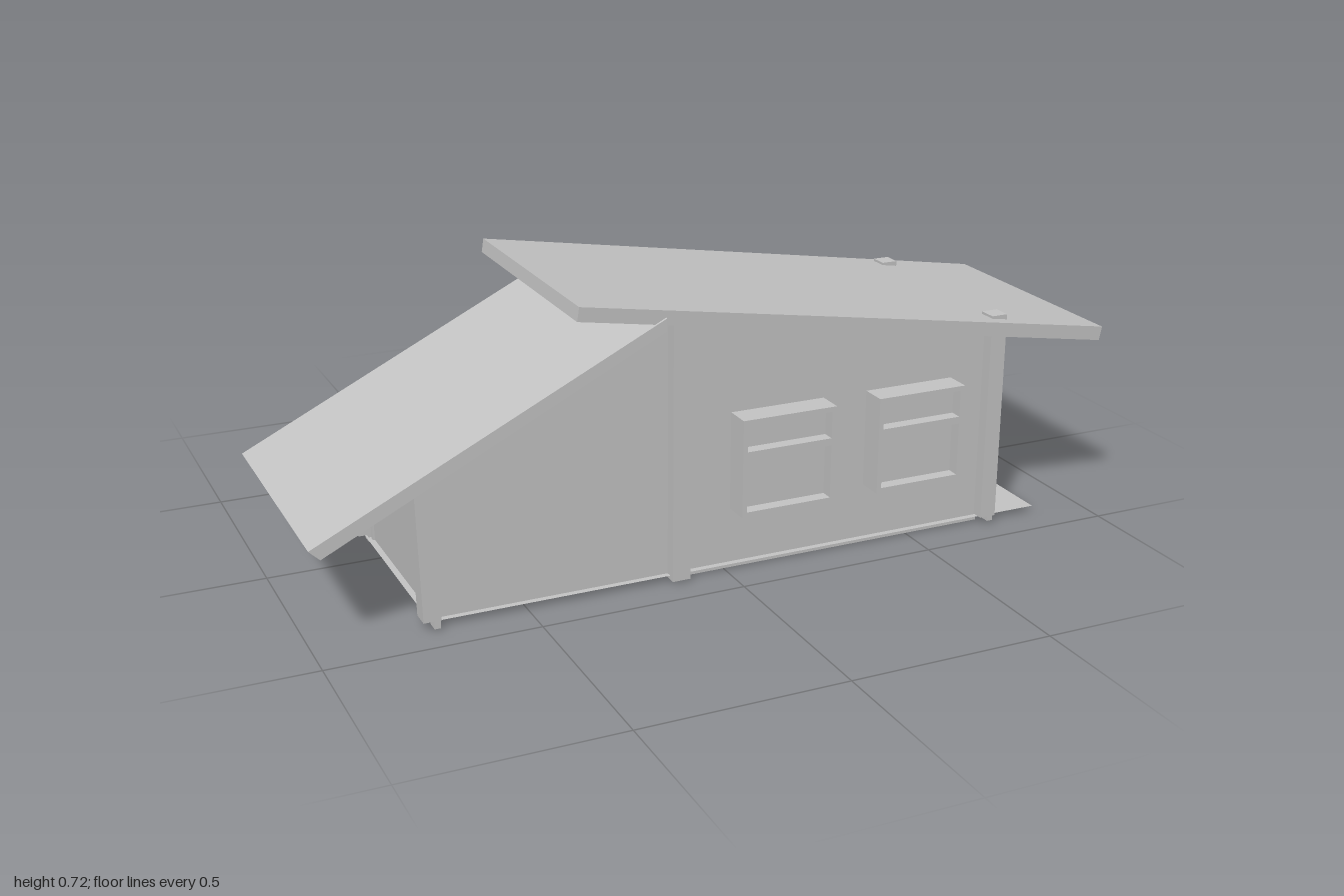
import * as THREE from 'three';

export function createModel() {
  const house = new THREE.Group();
  house.name = 'house';
  const grey = new THREE.MeshStandardMaterial({ color: 0xc4c4c4, side: THREE.DoubleSide });
  grey.name = 'plainGrey';

  const add = (name, geometry, parent = house) => {
    const mesh = new THREE.Mesh(geometry, grey);
    mesh.name = name;
    parent.add(mesh);
    return mesh;
  };
  // Box given by its limits on each axis
  const box = (name, x0, x1, y0, y1, z0, z1, parent = house) => {
    const mesh = add(name, new THREE.BoxGeometry(x1 - x0, y1 - y0, z1 - z0), parent);
    mesh.position.set((x0 + x1) / 2, (y0 + y1) / 2, (z0 + z1) / 2);
    return mesh;
  };
  // Outline in x and y, pushed from z0 to z1
  const slab = (name, points, z0, z1) => {
    const shape = new THREE.Shape(points.map(([x, y]) => new THREE.Vector2(x, y)));
    const geometry = new THREE.ExtrudeGeometry(shape, { depth: z1 - z0, bevelEnabled: false });
    geometry.translate(0, 0, z0);
    return add(name, geometry);
  };

  // Thin ground sheet
  const ground = add('groundSheet', new THREE.PlaneGeometry(1.595, 0.88));
  ground.rotation.x = -Math.PI / 2;
  ground.position.set(0.0675, 0.018, -0.035);

  // Main room and lower wing: front and back walls that follow the roofs
  const mainOutline = [[-0.12, 0.003], [0.705, 0.003], [0.705, 0.508], [-0.12, 0.642]];
  const wingOutline = [[-0.72, 0.016], [-0.12, 0.016], [-0.12, 0.642], [-0.16, 0.642], [-0.72, 0.358]];
  for (const [side, z0, z1] of [['front', 0.375, 0.39], ['back', -0.09, -0.075]]) {
    slab(side + 'MainWall', mainOutline, z0, z1);
    slab(side + 'WingWall', wingOutline, z0, z1);
  }
  box('rightWall', 0.69, 0.705, 0.003, 0.509, -0.09, 0.39);
  box('dividingWall', -0.12, -0.105, 0.003, 0.64, -0.09, 0.39);
  slab('leftWall', [[-0.715, 0.016], [-0.7, 0.016], [-0.71, 0.365], [-0.725, 0.358]], -0.09, 0.39);

  // Corner posts, the wing ones leaning slightly outward
  for (const [z0, z1] of [[0.375, 0.42], [-0.14, -0.095]]) {
    box('rightPost', 0.7, 0.742, 0.02, 0.547, z0, z1);
    box('rightPostFoot', 0.72, 0.735, 0.008, 0.02, z0 + 0.015, z1);
    box('middlePost', -0.145, -0.1, 0.008, 0.642, z0, z1);
    slab('leftPost', [[-0.75, 0.025], [-0.708, 0.025], [-0.718, 0.36], [-0.76, 0.345]], z0, z1);
    box('leftPostFoot', -0.725, -0.71, 0.006, 0.025, z0 + 0.015, z1);
  }

  // Roofs
  slab('mainRoof', [[-0.39, 0.685], [0.993, 0.458], [1, 0.492], [-0.385, 0.718]], -0.16, 0.455);
  const wingRoof = slab('wingRoof',
    [[-0.975, 0.228], [-0.18, 0.638], [-0.18, 0.668], [-1, 0.252]], -0.18, 0.437);
  const p = wingRoof.geometry.attributes.position;
  for (let i = 0; i < p.count; i++) p.setZ(i, p.getZ(i) + 0.03 * (p.getX(i) + 1));
  wingRoof.geometry.computeVertexNormals();

  // Window: deep frame with a crossbar and set-back panes, facing local +z from z = 0
  const addWindow = (name, w, h, x, y, z, turn) => {
    const group = new THREE.Group();
    group.name = name;
    const rect = (Type, x0, x1, y0, y1) => new Type([
      new THREE.Vector2(x0, y0), new THREE.Vector2(x1, y0),
      new THREE.Vector2(x1, y1), new THREE.Vector2(x0, y1)]);
    const frame = rect(THREE.Shape, -w / 2, w / 2, -h / 2, h / 2);
    const edge = 0.012, bar = h * 0.1;
    frame.holes.push(
      rect(THREE.Path, -w / 2 + edge, w / 2 - edge, -h / 2 + edge, bar),
      rect(THREE.Path, -w / 2 + edge, w / 2 - edge, bar + 0.018, h / 2 - edge));
    add('windowFrame', new THREE.ExtrudeGeometry(frame, { depth: 0.066, bevelEnabled: false }), group);
    box('windowPanes', -w / 2 + 0.005, w / 2 - 0.005, -h / 2 + 0.005, h / 2 - 0.005, 0.02, 0.035, group);
    group.position.set(x, y, z);
    group.rotation.y = turn;
    house.add(group);
  };
  addWindow('frontWindow', 0.243, 0.24, 0.137, 0.275, 0.389, 0);
  addWindow('frontWindow', 0.235, 0.24, 0.492, 0.275, 0.389, 0);
  addWindow('rightWindow', 0.24, 0.24, 0.695, 0.275, 0.135, Math.PI / 2);
  addWindow('porchWindow', 0.23, 0.24, 0.515, 0.265, -0.089, Math.PI);
  addWindow('porchWindow', 0.23, 0.24, 0.035, 0.265, -0.089, Math.PI);
  addWindow('wingBackWindow', 0.2, 0.255, -0.42, 0.232, -0.091, Math.PI);

  // Porch door
  box('doorFrame', 0.195, 0.365, 0.06, 0.36, -0.13, -0.085);
  box('doorLeaf', 0.21, 0.35, 0.07, 0.345, -0.138, -0.13);

  // Porch floor, steps and flat roof
  box('porchFloor', -0.15, 0.75, 0.02, 0.072, -0.36, -0.11);
  box('backStep', 0.085, 0.512, 0.02, 0.044, -0.466, -0.36);
  box('sideStep', -0.175, -0.15, 0.02, 0.044, -0.375, -0.165);
  box('porchRoof', -0.15, 0.75, 0.385, 0.427, -0.393, -0.11);

  // Porch columns with base, cap, small knob and ball on top
  for (const x of [-0.095, 0.11, 0.49, 0.7]) {
    const column = new THREE.Group();
    column.name = 'porchColumn';
    column.position.set(x, 0, -0.35);
    box('columnBase', -0.028, 0.028, 0.018, 0.075, -0.028, 0.028, column);
    add('columnShaft', new THREE.CylinderGeometry(0.022, 0.022, 0.295, 24), column).position.y = 0.22;
    box('columnNeck', -0.034, 0.034, 0.362, 0.372, -0.034, 0.034, column);
    box('columnCap', -0.045, 0.045, 0.37, 0.386, -0.045, 0.045, column);
    add('columnBall', new THREE.SphereGeometry(0.042, 24, 16), column).position.y = 0.43;
    const knob = add('columnKnob', new THREE.SphereGeometry(0.015, 12, 8), column);
    knob.position.set(0, 0.245, -0.022);
    box('knobPlate', -0.01, 0.01, 0.238, 0.246, -0.045, -0.02, column);
    house.add(column);
  }

  return house;
}
